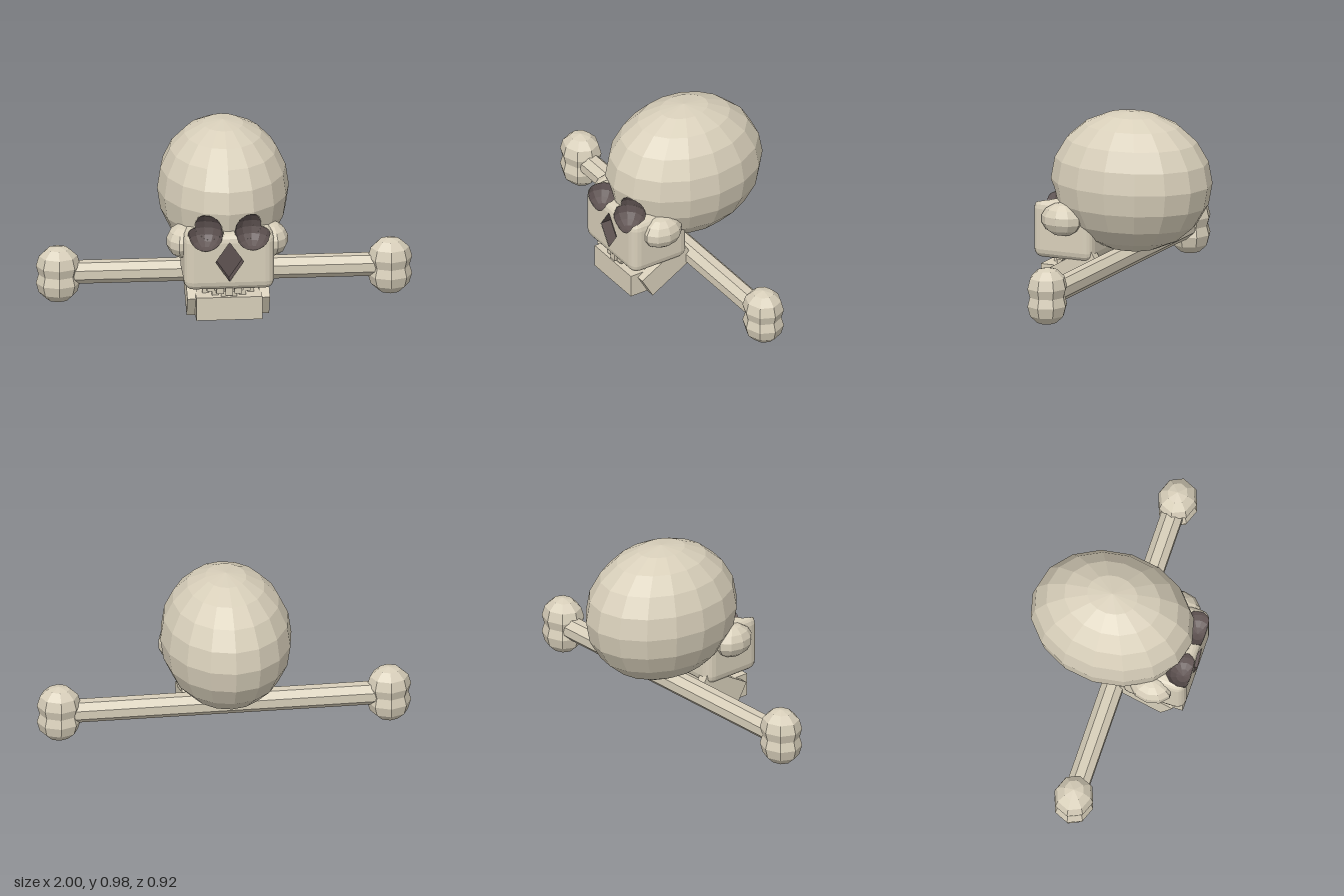
import * as THREE from 'three';
import { RoundedBoxGeometry } from 'three/addons/geometries/RoundedBoxGeometry.js';

const flat = (g) => {
  const out = g.index ? g.toNonIndexed() : g;
  out.computeVertexNormals();
  return out;
};

// Low-poly ellipsoid
const ellipsoid = (rx, ry, rz, w, h, x, y, z) =>
  flat(new THREE.SphereGeometry(1, w, h).scale(rx, ry, rz).translate(x, y, z));

// Visit each triangle of a geometry
function eachTriangle(geo, fn) {
  const p = geo.attributes.position;
  const v = (i) => new THREE.Vector3().fromBufferAttribute(p, i);
  for (let i = 0; i < p.count; i += 3) fn(v(i), v(i + 1), v(i + 2));
}

// Signed distance to a convex solid, negative inside
function solidField(geo) {
  const planes = [];
  eachTriangle(geo, (a, b, c) => {
    const n = b.clone().sub(a).cross(c.clone().sub(a));
    if (n.length() < 1e-9) return;
    n.normalize();
    planes.push([n, n.dot(a)]);
  });
  return (p) => {
    let d = -Infinity;
    for (const [n, k] of planes) d = Math.max(d, n.dot(p) - k);
    return d;
  };
}

// Keep only the surface where the field is positive, splitting triangles at the border
function carve(geo, field) {
  const out = [];
  const visit = (a, b, c) => {
    const m = a.clone().add(b).add(c).divideScalar(3);
    const r = Math.max(m.distanceTo(a), m.distanceTo(b), m.distanceTo(c));
    const d = field(m);
    if (d > r || (r < 0.004 && d > 0)) {
      out.push(...a.toArray(), ...b.toArray(), ...c.toArray());
    } else if (d > -r && r >= 0.004) {
      const ab = a.clone().lerp(b, 0.5), bc = b.clone().lerp(c, 0.5), ca = c.clone().lerp(a, 0.5);
      visit(a, ab, ca);
      visit(ab, b, bc);
      visit(ca, bc, c);
      visit(ab, bc, ca);
    }
  };
  eachTriangle(geo, visit);
  const g = new THREE.BufferGeometry();
  g.setAttribute('position', new THREE.Float32BufferAttribute(out, 3));
  g.computeVertexNormals();
  return g;
}

const union = (fields) => (p) => Math.min(...fields.map((f) => f(p)));

export function createModel() {
  const model = new THREE.Group();
  model.name = 'skullAndBone';
  const bone = new THREE.MeshStandardMaterial({ color: 0xd8cfba, flatShading: true });
  bone.name = 'bone';
  const hollow = new THREE.MeshStandardMaterial({ color: 0x5f5352, flatShading: true, side: THREE.DoubleSide });
  hollow.name = 'hollow';

  const add = (name, geo, mat = bone, parent = model) => {
    const mesh = new THREE.Mesh(geo, mat);
    mesh.name = name;
    parent.add(mesh);
    return mesh;
  };
  const box = (name, w, h, d, x, y, z, parent) => {
    const mesh = add(name, new THREE.BoxGeometry(w, h, d), bone, parent);
    mesh.position.set(x, y, z);
    return mesh;
  };

  // Solid skull parts
  const solids = {
    cranium: ellipsoid(0.35, 0.378, 0.445, 16, 10, 0, 0.603, -0.015),
    face: flat(new RoundedBoxGeometry(0.48, 0.32, 0.35, 2, 0.05).translate(0, 0.345, 0.285)),
    leftCheekbone: ellipsoid(0.09, 0.09, 0.118, 10, 7, 0.235, 0.412, 0.28),
    rightCheekbone: ellipsoid(0.09, 0.09, 0.118, 10, 7, -0.235, 0.412, 0.28),
  };

  // Eye sockets and diamond nose opening
  const hollows = {
    leftEyeSocket: ellipsoid(0.096, 0.097, 0.096, 12, 8, 0.125, 0.5, 0.42),
    rightEyeSocket: ellipsoid(0.096, 0.097, 0.096, 12, 8, -0.125, 0.5, 0.42),
    noseOpening: flat(new THREE.CylinderGeometry(1, 1, 0.1, 4).rotateX(Math.PI / 2)
      .scale(0.075, 0.11, 1).translate(0, 0.35, 0.45)),
  };
  const outsideHollows = union(Object.values(hollows).map(solidField));
  const outsideSolids = union(Object.values(solids).map(solidField));
  for (const [name, geo] of Object.entries(solids)) add(name, carve(geo, outsideHollows));
  for (const [name, geo] of Object.entries(hollows)) add(name, carve(geo, (p) => -outsideSolids(p)), hollow);

  // Lower jaw: chin block and two slanted side plates
  const jaw = new THREE.Group();
  jaw.name = 'lowerJaw';
  model.add(jaw);
  box('chin', 0.35, 0.128, 0.148, 0, 0.077, 0.361, jaw);
  for (const s of [-1, 1]) {
    const side = box(s > 0 ? 'leftJawSide' : 'rightJawSide', 0.055, 0.132, 0.3, s * 0.192, 0.1375, 0.229, jaw);
    side.rotation.x = Math.PI / 6;
  }

  // Teeth, in a shallow arc
  const teeth = new THREE.Group();
  teeth.name = 'teeth';
  model.add(teeth);
  for (let i = -3; i <= 3; i++) {
    const h = 0.055 - Math.abs(i) * 0.005;
    box('upperTooth', 0.04, h, 0.035, i * 0.048, 0.208 - h / 2, 0.42 - i * i * 0.01, teeth);
  }
  for (let i = -2.5; i <= 2.5; i++) {
    box('lowerTooth', 0.036, 0.035, 0.03, i * 0.048, 0.15, 0.405 - i * i * 0.01, teeth);
  }

  // Long bone behind the jaw with two knobs at each end
  const shaft = add('boneShaft', new THREE.CylinderGeometry(0.063, 0.063, 1.72, 8)
    .rotateY(Math.PI / 8).rotateZ(Math.PI / 2));
  shaft.position.set(0, 0.165, 0.056);
  for (const s of [-1, 1]) {
    for (const y of [0.111, 0.207]) {
      add(s > 0 ? 'leftBoneKnob' : 'rightBoneKnob', ellipsoid(0.118, 0.108, 0.108, 8, 6, s * 0.882, y, 0.06));
    }
  }
  return model;
}
